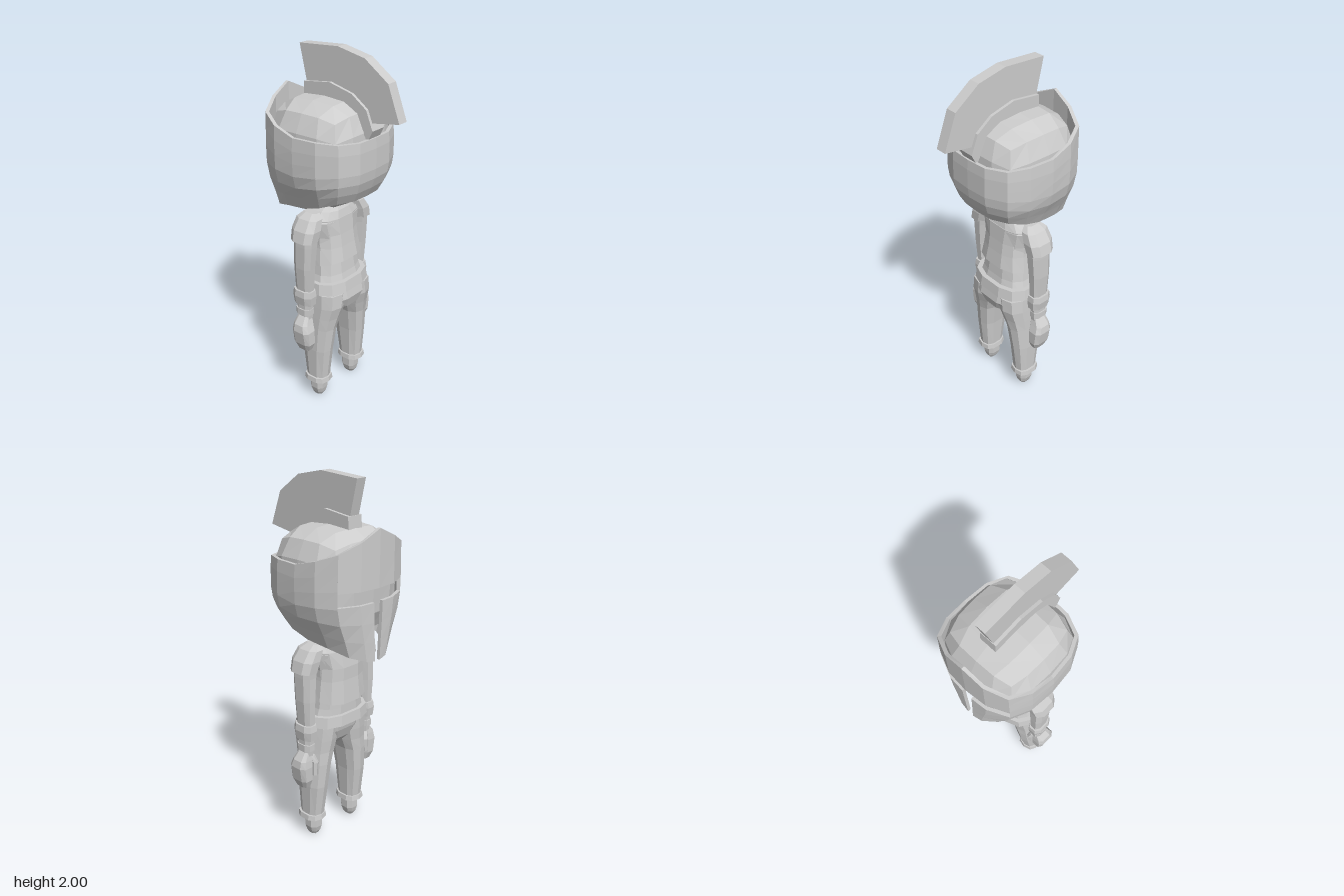
import * as THREE from 'three';

const grey = new THREE.MeshStandardMaterial({ color: 0xcccccc, flatShading: true });
grey.name = 'plain grey';

function part(parent, name, geometry) {
  const mesh = new THREE.Mesh(geometry, grey);
  mesh.name = name;
  parent.add(mesh);
  return mesh;
}

// Skin a list of equal closed rings of [x, y, z] and cap both ends with strips.
function skin(rings) {
  const n = rings[0].length, last = (rings.length - 1) * n, index = [];
  for (let i = 0; i < rings.length - 1; i++) {
    for (let j = 0; j < n; j++) {
      const a = i * n + j, c = i * n + (j + 1) % n;
      index.push(a, c, a + n, c, c + n, a + n);
    }
  }
  for (let k = 0; k < n / 2 - 1; k++) {
    const a = k, b = k + 1, c = n - 2 - k, d = n - 1 - k;
    index.push(a, c, b, a, d, c);
    index.push(last + a, last + b, last + c, last + a, last + c, last + d);
  }
  const g = new THREE.BufferGeometry();
  g.setAttribute('position', new THREE.Float32BufferAttribute(rings.flat(2), 3));
  g.setIndex(index);
  const flat = g.toNonIndexed();
  flat.computeVertexNormals();
  return flat;
}

// Stack rounded-square sections, top to bottom: [y, xMin, xMax, zMin, zMax, tilt].
function loft(sections, sides = 10, power = 0.75) {
  const soft = v => Math.sign(v) * Math.abs(v) ** power;
  return skin(sections.map(([y, x0, x1, z0, z1, tilt = 0]) =>
    Array.from({ length: sides }, (_, j) => {
      const a = (j + 0.5) / sides * Math.PI * 2, c = soft(Math.cos(a)), s = soft(Math.sin(a));
      return [(x0 + x1) / 2 + c * (x1 - x0) / 2, y + s * tilt, (z0 + z1) / 2 + s * (z1 - z0) / 2];
    })));
}

// The same, centred on x = 0: [y, halfWidth, zMin, zMax, tilt].
const centred = (sections, sides) =>
  loft(sections.map(([y, w, z0, z1, t]) => [y, -w, w, z0, z1, t]), sides);

// Side profile in (z, y), extruded across x.
function plate(points, width) {
  const shape = new THREE.Shape(points.map(p => new THREE.Vector2(p[0], p[1])));
  const g = new THREE.ExtrudeGeometry(shape, { depth: width, bevelEnabled: false });
  return g.rotateY(-Math.PI / 2).translate(width / 2, 0, 0);
}

// How far the helmet draws in towards the chin.
function taper(y) {
  const stops = [[1.6, 0.98], [1.52, 1], [1.4, 1], [1.33, 0.96], [1.26, 0.83], [1.19, 0.72], [1.08, 0.56]];
  if (y >= stops[0][0]) return stops[0][1];
  for (let i = 1; i < stops.length; i++) {
    const [y0, t0] = stops[i - 1], [y1, t1] = stops[i];
    if (y >= y1) return t0 + (t1 - t0) * (y0 - y) / (y0 - y1);
  }
  return 0.56;
}

// Thick helmet panel over columns [x, z, top, bottom].
function shell(columns, rows) {
  const mid = -0.08;
  return skin(columns.map(([x, z, top, bottom]) => {
    const layer = k => Array.from({ length: rows + 1 }, (_, r) => {
      const y = top + (bottom - top) * r / rows, t = taper(y);
      return [x * t * k, y, mid + (z - mid) * (z > mid ? t : 1) * k];
    });
    return [...layer(1), ...layer(0.94).reverse()];
  }));
}

function buildHead(parent) {
  const head = new THREE.Group();
  head.name = 'head';
  parent.add(head);

  // Skull: a box rounded into a soft cube
  const skull = new THREE.BoxGeometry(2, 2, 2, 4, 4, 4), p = skull.attributes.position;
  for (let i = 0; i < p.count; i++) {
    const v = [p.getX(i), p.getY(i), p.getZ(i)];
    const d = v.reduce((s, c) => s + Math.abs(c) ** 3.2, 0) ** (1 / 3.2);
    p.setXYZ(i, v[0] / d * 0.272, 1.465 + v[1] / d * 0.285, -0.075 + v[2] / d * 0.265);
  }
  skull.computeVertexNormals();
  part(head, 'skull', skull);

  // Helmet outline from the nape round to the brow
  const half = [
    [0, 0.222, 1.575, 1.25], [0.12, 0.215, 1.575, 1.25], [0.23, 0.165, 1.58, 1.25],
    [0.28, 0.06, 1.585, 1.215], [0.292, -0.08, 1.585, 1.18], [0.28, -0.21, 1.62, 1.16],
    [0.23, -0.315, 1.66, 1.125], [0.12, -0.365, 1.71, 1.1], [0, -0.375, 1.765, 1.09],
  ];
  const flip = c => [-c[0], c[1], c[2], c[3]];
  const sides = half.slice(0, 7);
  part(head, 'helmetShell', shell([...sides.slice(1).reverse().map(flip), ...sides], 6));

  // Visor above the eye slit
  const brow = half.slice(6).map(([x, z, top]) => [x, z, top, 1.47]);
  part(head, 'visor', shell([...brow, ...brow.slice(0, 2).reverse().map(flip)], 2));

  // Cheek guards below it, with a gap between
  const cheek = [...half.slice(6, 8), [0.03, -0.373, 0, 1.09]].map(([x, z, , b]) => [x, z, 1.4, b]);
  part(head, 'leftCheekGuard', shell(cheek, 3));
  part(head, 'rightCheekGuard', shell(cheek.map(flip).reverse(), 3));

  // Crest and its mount
  part(head, 'crest', plate([
    [0.375, 1.68], [0.305, 1.865], [0.165, 1.965], [0, 2], [-0.245, 1.985],
    [-0.2, 1.79], [-0.04, 1.8], [0.08, 1.77], [0.16, 1.71], [0.215, 1.655]], 0.062));
  part(head, 'crestMount', plate([
    [0.23, 1.62], [0.19, 1.72], [0.1, 1.785], [-0.04, 1.82], [-0.205, 1.8],
    [-0.21, 1.7], [-0.04, 1.72], [0.08, 1.7], [0.15, 1.64], [0.2, 1.56]], 0.095));
}

function buildBody(parent) {
  part(parent, 'torso', centred([
    [1.24, 0.06, -0.13, -0.01], [1.17, 0.07, -0.14, -0.005], [1.14, 0.12, -0.16, 0.015],
    [1.09, 0.17, -0.175, 0.03], [1, 0.15, -0.18, 0.035], [0.85, 0.145, -0.18, 0.04],
    [0.78, 0.155, -0.18, 0.05], [0.7, 0.18, -0.18, 0.07]], 12));
  part(parent, 'breastplate', centred([
    [1.1, 0.165, -0.18, 0.03], [1.01, 0.145, -0.195, 0.04],
    [0.94, 0.15, -0.195, 0.05], [0.835, 0.165, -0.205, 0.065, 0.025]], 12));
  part(parent, 'belt', centred([
    [0.745, 0.19, -0.2, 0.085], [0.685, 0.2, -0.205, 0.095]], 12));
  part(parent, 'hips', centred([
    [0.69, 0.188, -0.175, 0.09], [0.64, 0.18, -0.165, 0.1],
    [0.58, 0.12, -0.14, 0.08], [0.535, 0.04, -0.1, 0.03]], 12));
}

function buildLimbs(parent, side) {
  const group = new THREE.Group();
  group.name = side > 0 ? 'leftLimbs' : 'rightLimbs';
  parent.add(group);
  const add = (name, sections, sides = 8, power) => part(group, name, loft(
    sections.map(([y, a, b, ...rest]) => side > 0 ? [y, a, b, ...rest] : [y, -b, -a, ...rest]), sides, power));

  // Leg, ankle cuff and foot
  add('leg', [
    [0.68, 0.005, 0.19, -0.165, 0.085], [0.6, 0.02, 0.195, -0.16, 0.085],
    [0.53, 0.04, 0.198, -0.152, 0.065], [0.46, 0.065, 0.2, -0.15, 0.05],
    [0.32, 0.085, 0.205, -0.14, 0.035], [0.13, 0.098, 0.2, -0.115, 0.015]], 10);
  add('ankleCuff', [[0.14, 0.088, 0.212, -0.122, 0.025], [0.112, 0.084, 0.216, -0.126, 0.028]], 10);
  add('foot', [
    [0.12, 0.1, 0.19, -0.1, 0], [0.05, 0.102, 0.188, -0.1, -0.005],
    [0.02, 0.112, 0.178, -0.092, -0.012], [0, 0.125, 0.168, -0.08, -0.025]]);

  // Shoulder pad, arm and bracer
  add('shoulderPad', [
    [1.15, 0.13, 0.18, -0.12, -0.03, 0], [1.125, 0.13, 0.225, -0.145, 0],
    [1.07, 0.15, 0.265, -0.15, 0.01], [1.01, 0.17, 0.28, -0.145, 0.005]]);
  add('arm', [
    [1.06, 0.16, 0.26, -0.14, 0], [0.98, 0.172, 0.262, -0.135, -0.005],
    [0.85, 0.182, 0.262, -0.135, -0.015], [0.7, 0.187, 0.252, -0.13, -0.025],
    [0.53, 0.193, 0.25, -0.12, -0.035]]);
  add('bracer', [
    [0.715, 0.178, 0.265, -0.14, -0.015], [0.68, 0.175, 0.27, -0.145, -0.01],
    [0.63, 0.18, 0.262, -0.14, -0.015]]);
  add('wristBand', [[0.6, 0.186, 0.258, -0.13, -0.028], [0.565, 0.186, 0.258, -0.13, -0.028]]);

  // Hand and thumb
  add('hand', [
    [0.555, 0.195, 0.25, -0.115, -0.04], [0.51, 0.195, 0.285, -0.125, -0.025],
    [0.47, 0.2, 0.293, -0.13, -0.01], [0.39, 0.205, 0.28, -0.128, -0.01],
    [0.345, 0.21, 0.26, -0.11, -0.03]], 8, 0.6);
  add('thumb', [
    [0.53, 0.19, 0.225, -0.125, -0.08], [0.49, 0.178, 0.215, -0.142, -0.085],
    [0.415, 0.186, 0.215, -0.138, -0.095]], 6);
}

export function createModel() {
  const model = new THREE.Group();
  model.name = 'helmetedFigure';
  buildHead(model);
  buildBody(model);
  for (const side of [1, -1]) buildLimbs(model, side);
  return model;
}
